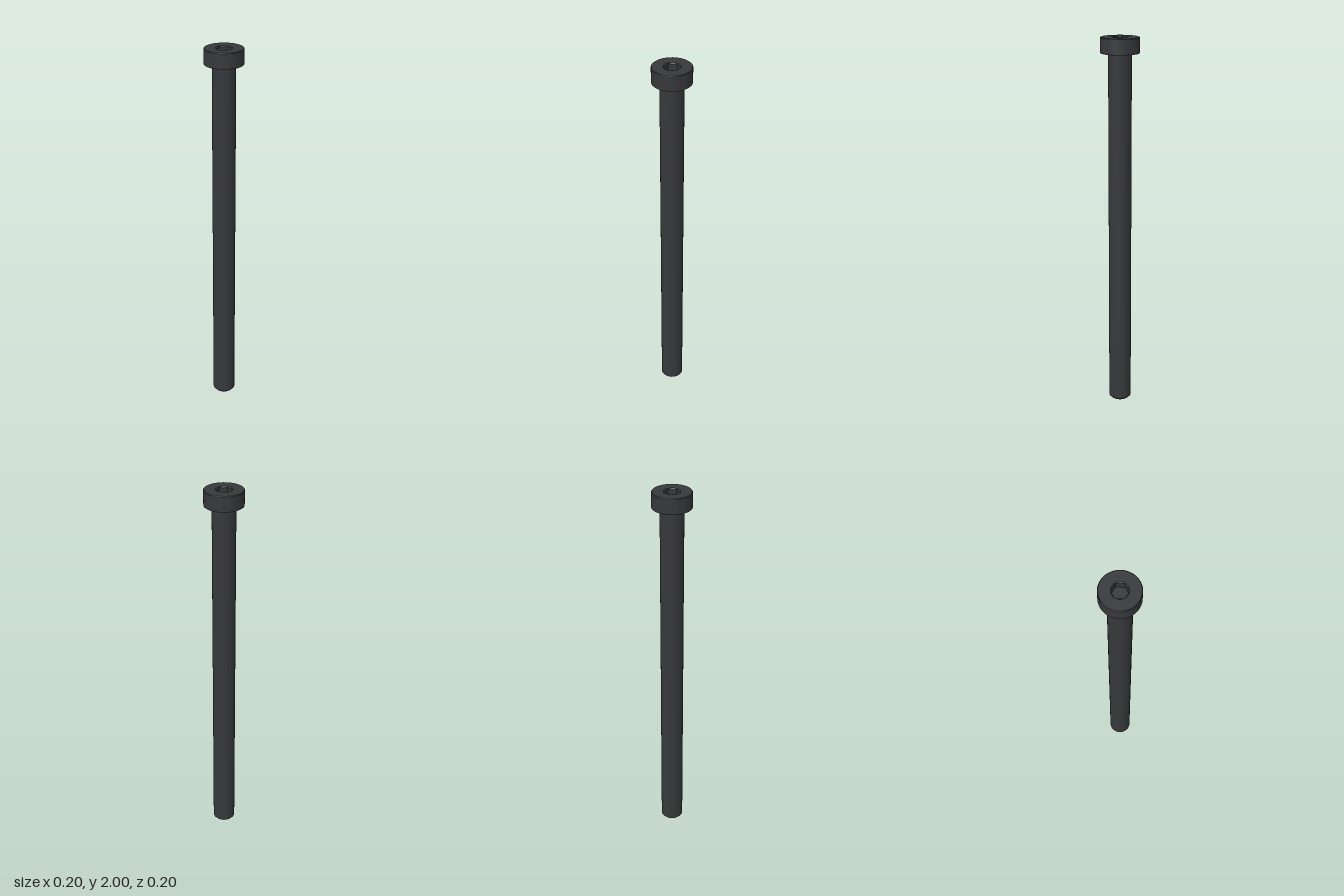
import * as THREE from 'three';
import { toCreasedNormals } from 'three/addons/utils/BufferGeometryUtils.js';

const SEGMENTS = 72;
const SOCKET_R = 0.042; // corner radius of the hexagon
const SOCKET_FLAT = SOCKET_R * Math.cos(Math.PI / 6);

function lathe(profile) {
  return new THREE.LatheGeometry(profile.map(([r, y]) => new THREE.Vector2(r, y)), SEGMENTS);
}

// Distance from the axis to the hexagon's side, with corners on the x axis
function hexRadius(angle) {
  const step = Math.PI / 3;
  const a = angle - step * Math.round(angle / step);
  return SOCKET_FLAT / Math.cos(a);
}

// Round mouth whose chamfer runs into six flat walls and a flat floor
function socketGeometry() {
  const geometry = lathe([[SOCKET_R, 2], [SOCKET_R, 1.999], [SOCKET_R, 1.955], [0, 1.955]]);
  const p = geometry.attributes.position;
  for (let i = 0; i < p.count; i++) {
    const row = i % 4;
    if (row !== 1 && row !== 2) continue;
    const angle = Math.atan2(p.getX(i), p.getZ(i));
    const r = hexRadius(angle);
    const y = row === 1 ? 1.9995 - (SOCKET_R - r) : p.getY(i);
    p.setXYZ(i, r * Math.sin(angle), y, r * Math.cos(angle));
  }
  return geometry;
}

export function createModel() {
  const group = new THREE.Group();
  group.name = 'socketHeadBolt';
  const material = new THREE.MeshStandardMaterial({ color: 0x36383b });

  const add = (name, geometry) => {
    const mesh = new THREE.Mesh(toCreasedNormals(geometry, Math.PI / 7), material);
    mesh.name = name;
    group.add(mesh);
  };

  // Long shank with a chamfered tip
  add('shank', lathe([[0, 0], [0.048, 0], [0.06, 0.012], [0.06, 1.92]]));

  // Cylindrical head, open in the middle for the socket
  add('head', lathe([
    [0.06, 1.92], [0.099, 1.92], [0.1, 1.921], [0.1, 1.997], [0.097, 2], [SOCKET_R, 2],
  ]));

  add('hexSocket', socketGeometry());
  return group;
}
